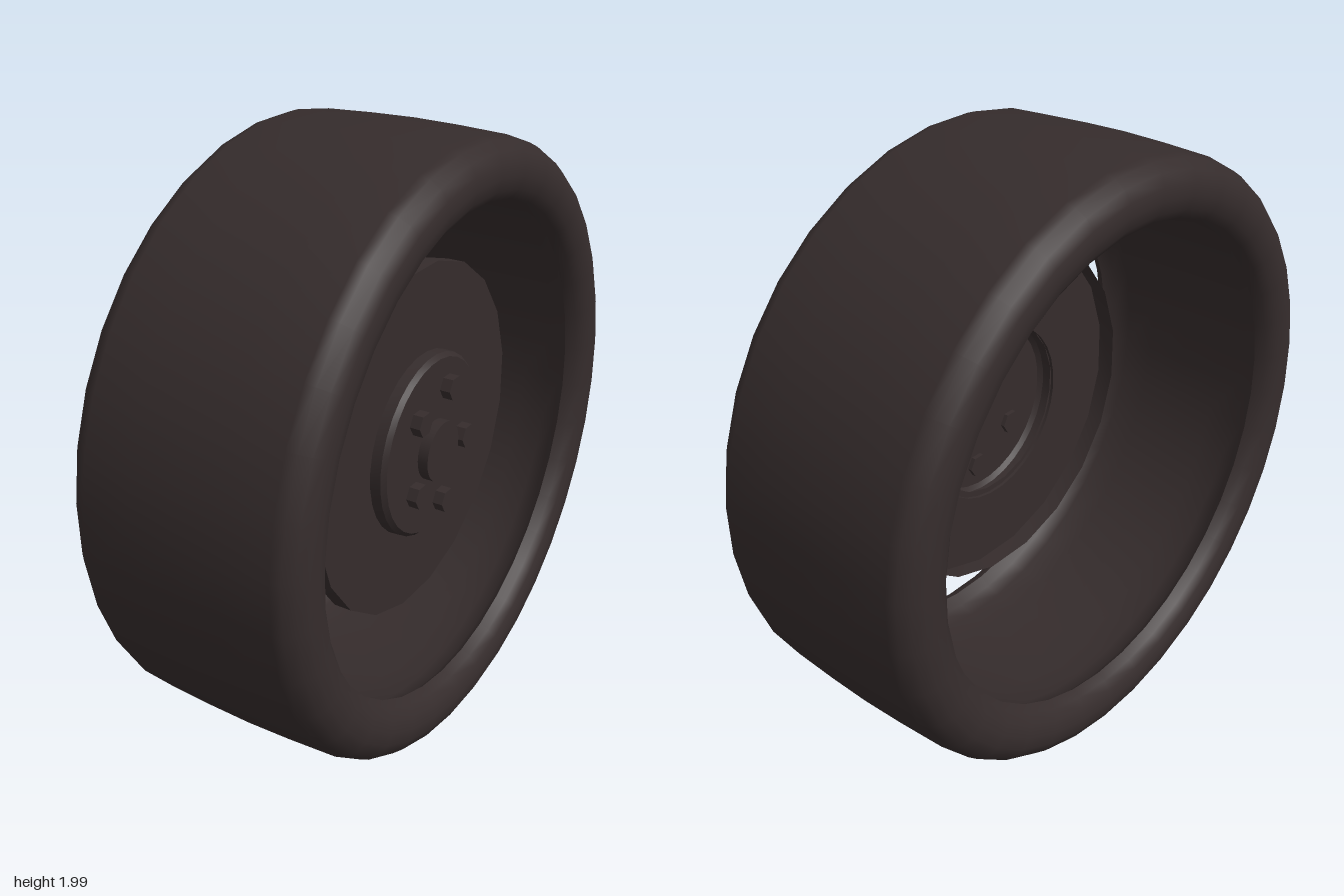
import * as THREE from 'three';
import { toCreasedNormals } from 'three/addons/utils/BufferGeometryUtils.js';

export function createModel() {
  const wheel = new THREE.Group();
  wheel.name = 'wheel';
  const rubber = new THREE.MeshStandardMaterial({ color: 0x352c2c, side: THREE.DoubleSide });
  rubber.name = 'dark brown';

  // Add a part whose axis (y in its geometry) is laid along x
  const addPart = (name, geometry, x = 0, y = 1, z = 0) => {
    geometry.rotateZ(-Math.PI / 2);
    const mesh = new THREE.Mesh(geometry, rubber);
    mesh.name = name;
    mesh.position.set(x, y, z);
    wheel.add(mesh);
  };

  // Revolve a list of [radius, axial position]
  const revolve = (profile, sides) =>
    new THREE.LatheGeometry(profile.map(([r, a]) => new THREE.Vector2(r, a)), sides, Math.PI / sides);
  const mirrored = (half) => [
    ...half.map(([r, a]) => [r, -a]),
    ...half.slice(0, -1).reverse(),
  ];

  // Tyre outside: rounded shoulders and a slightly crowned tread
  const shoulder = [
    [0.795, 0.33], [0.81, 0.362], [0.84, 0.385], [0.88, 0.395], [0.92, 0.392],
    [0.955, 0.375], [0.98, 0.345], [0.99, 0.315], [0.997, 0.15], [1, 0],
  ];
  addPart('tyre', revolve(mirrored(shoulder), 36));

  // Tyre inside: hollow between the two lips
  const hollow = [[0.795, 0.33], [0.828, 0.3], [0.845, 0.25], [0.852, 0.15], [0.853, 0]];
  addPart('tyreLining', revolve(mirrored(hollow).reverse(), 36));

  // Pressed wheel disc, open at the back
  const disc = [[0.58, 0.13], [0.58, 0.19], [0.295, 0.19]];
  addPart('wheelDisc', toCreasedNormals(revolve(disc, 20), 0.5), 0, 1.02, 0.006);

  // Raised hub flange with a tapered edge
  const flange = [[0.305, 0.18], [0.303, 0.225], [0.29, 0.24], [0, 0.24]];
  addPart('hubFlange', toCreasedNormals(revolve(flange, 32), 0.5), 0, 1.012, 0);

  // Centre cap
  addPart('centreCap', new THREE.CylinderGeometry(0.1, 0.1, 0.04, 28), 0.255, 1.003, 0.005);

  // Five hexagonal wheel nuts, as [y, z]
  const nuts = [[1.195, -0.067], [1.144, 0.117], [0.9, 0.133], [0.805, -0.037], [0.984, -0.165]];
  for (const [y, z] of nuts) {
    addPart('wheelNut', toCreasedNormals(new THREE.CylinderGeometry(0.04, 0.04, 0.05, 6), 0.5), 0.25, y, z);
  }
  return wheel;
}
